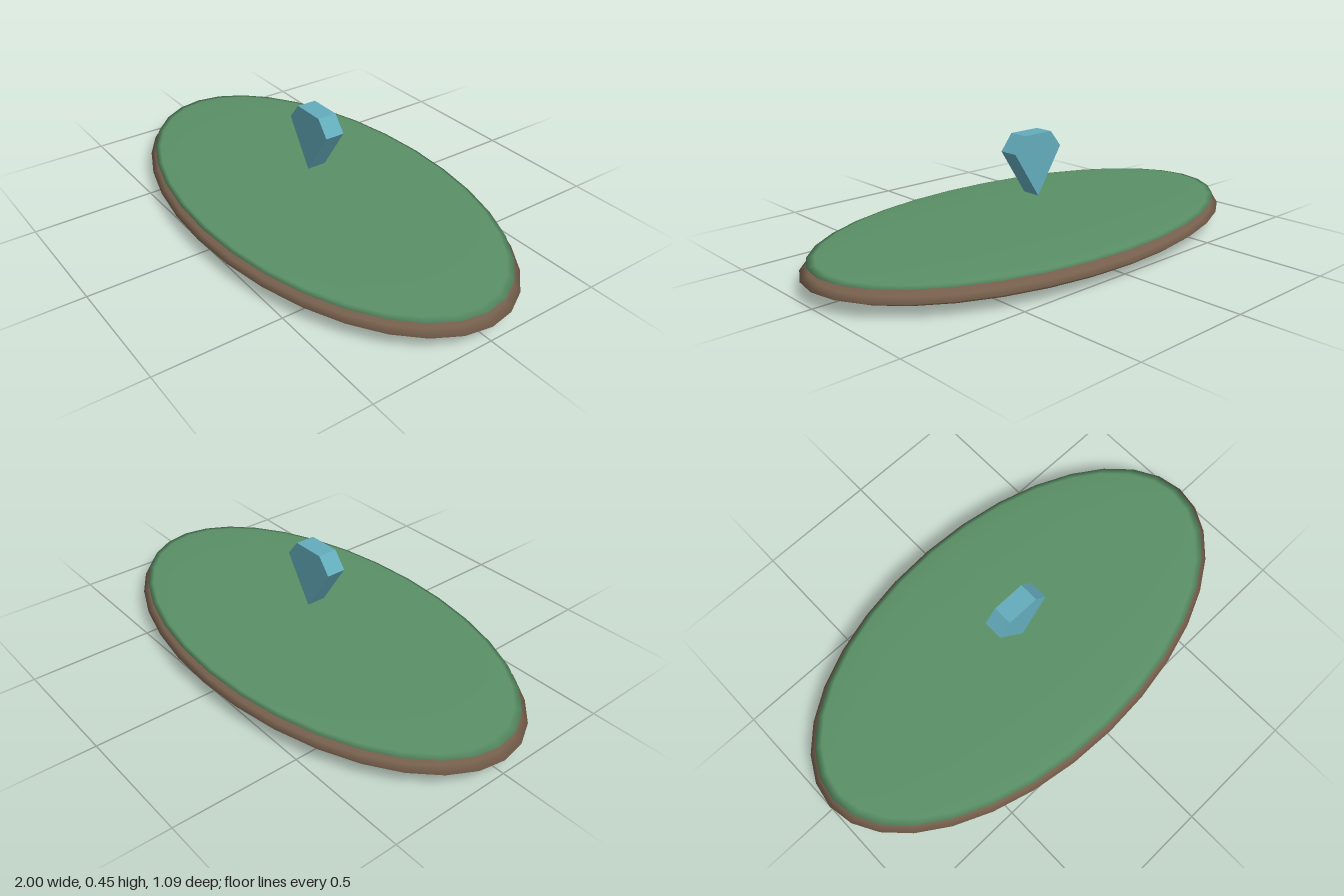
import * as THREE from 'three';

export function createModel() {
  const model = new THREE.Group();
  model.name = 'floatingGemIsland';

  const material = (name, color, flatShading = false) => {
    const m = new THREE.MeshStandardMaterial({ color, flatShading });
    m.name = name;
    return m;
  };
  const earth = material('earthBrown', 0x765f4c);
  const grass = material('grassGreen', 0x5a9066);
  const crystal = material('crystalBlue', 0x64acbc);

  // Flattened ellipsoid discs: earth below, grass on top
  const disc = (name, mat, rx, ry, rz, y) => {
    const geometry = new THREE.SphereGeometry(1, 32, 12);
    geometry.scale(rx, ry, rz);
    const mesh = new THREE.Mesh(geometry, mat);
    mesh.name = name;
    mesh.position.y = y;
    model.add(mesh);
  };
  disc('earthBase', earth, 1, 0.06, 0.545, 0.06);
  disc('grassTop', grass, 0.973, 0.02, 0.524, 0.102);

  // Gem: a five-sided outline extruded along z
  const outline = new THREE.Shape([
    [0, 0.2], [0.12, 0.385], [0.068, 0.45], [-0.068, 0.45], [-0.12, 0.385],
  ].map(([x, y]) => new THREE.Vector2(x, y)));
  const depth = 0.08;
  const gemGeometry = new THREE.ExtrudeGeometry(outline, { depth, bevelEnabled: false });
  gemGeometry.translate(0, 0, -depth / 2);
  const gem = new THREE.Mesh(gemGeometry, crystal);
  gem.name = 'gem';
  model.add(gem);

  return model;
}
